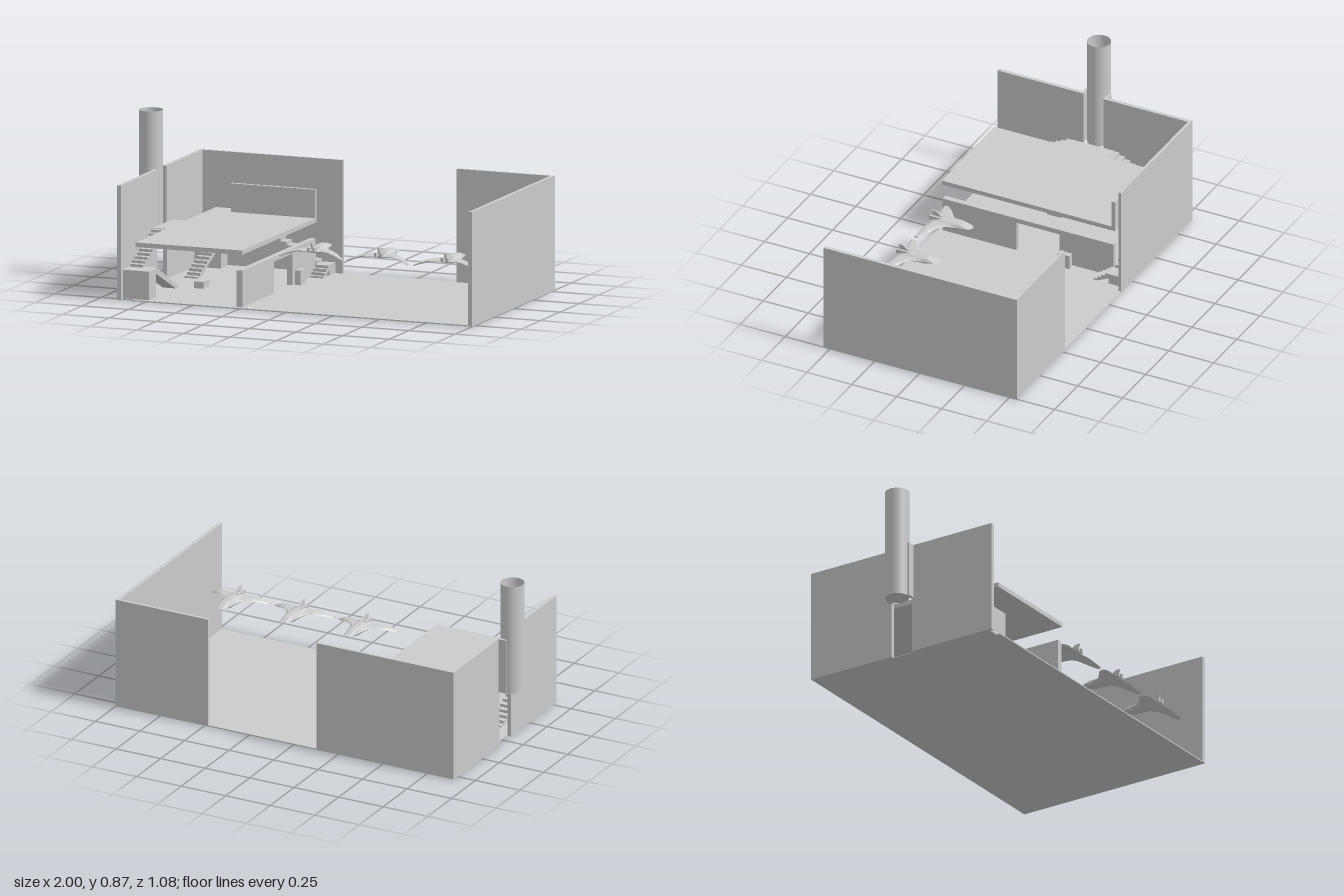
import * as THREE from 'three';

const mat = new THREE.MeshStandardMaterial({ color: 0xcccccc, flatShading: true, side: THREE.DoubleSide });
const smooth = new THREE.MeshStandardMaterial({ color: 0xcccccc, side: THREE.DoubleSide });

function add(parent, name, geometry, material = mat) {
  const mesh = new THREE.Mesh(geometry, material);
  mesh.name = name;
  parent.add(mesh);
  return mesh;
}

// Box given by its ranges on each axis
function block(parent, name, x0, x1, y0, y1, z0, z1) {
  const mesh = add(parent, name, new THREE.BoxGeometry(x1 - x0, y1 - y0, Math.abs(z1 - z0)));
  mesh.position.set((x0 + x1) / 2, (y0 + y1) / 2, (z0 + z1) / 2);
}

// Plan outline of [x, z] points raised from y0 to y1
function slab(parent, name, points, y0, y1) {
  const shape = new THREE.Shape(points.map(([x, z]) => new THREE.Vector2(x, -z)));
  const geometry = new THREE.ExtrudeGeometry(shape, { depth: y1 - y0, bevelEnabled: false });
  add(parent, name, geometry.rotateX(-Math.PI / 2).translate(0, y0, 0));
}

// Stepped flight with a sloping underside, climbing along local +x
function flight(parent, name, start, angle, run, rise, width, steps) {
  const shape = new THREE.Shape();
  shape.moveTo(0, 0);
  for (let i = 0; i < steps; i++) {
    shape.lineTo((run * i) / steps, (rise * (i + 1)) / steps);
    shape.lineTo((run * (i + 1)) / steps, (rise * (i + 1)) / steps);
  }
  shape.lineTo(run, rise - 0.025);
  shape.lineTo(run * 0.1, 0);
  const geometry = new THREE.ExtrudeGeometry(shape, { depth: width, bevelEnabled: false });
  const mesh = add(parent, name, geometry.translate(0, 0, -width / 2));
  mesh.position.set(...start);
  mesh.rotation.y = angle;
}

// Gull wing and body lofted from chordwise sections: [x, front z, rear z, top y, bottom y]
function flyerGeometry() {
  const half = [
    [0.165, 0.095, 0.12, -0.022, -0.028],
    [0.12, 0.058, 0.108, -0.002, -0.015],
    [0.085, 0.035, 0.1, 0.006, -0.004],
    [0.05, 0.005, 0.094, 0.008, -0.004],
    [0.035, -0.045, 0.094, 0.009, -0.008],
    [0.025, -0.108, 0.094, 0.016, -0.012],
    [0.012, -0.122, 0.094, 0.02, -0.013],
  ];
  const stations = [...half.map(([x, ...r]) => [-x, ...r]), ...half.reverse()];
  const pos = [], index = [];
  stations.forEach(([x, a, b, top, bottom]) => {
    const mid = (top + bottom) / 2, f = a + (b - a) * 0.25, r = a + (b - a) * 0.8;
    pos.push(x, mid, a, x, top, f, x, top, r, x, mid, b, x, bottom, r, x, bottom, f);
  });
  for (let i = 0; i < stations.length - 1; i++) {
    for (let j = 0; j < 6; j++) {
      const p = i * 6 + j, q = i * 6 + ((j + 1) % 6);
      index.push(p, q, p + 6, q, q + 6, p + 6);
    }
  }
  const last = (stations.length - 1) * 6;
  for (let j = 1; j < 5; j++) index.push(0, j + 1, j, last, last + j, last + j + 1);
  const geometry = new THREE.BufferGeometry();
  geometry.setAttribute('position', new THREE.Float32BufferAttribute(pos, 3));
  geometry.setIndex(index);
  geometry.computeVertexNormals();
  return geometry;
}

function makeFlyer() {
  const flyer = new THREE.Group();
  flyer.name = 'aircraft';
  add(flyer, 'wingBody', flyerGeometry());
  // swept tail fin
  const fin = new THREE.Shape([[0.03, 0.01], [0.08, 0.045], [0.105, 0.045], [0.09, 0.01]].map(p => new THREE.Vector2(...p)));
  const finGeometry = new THREE.ExtrudeGeometry(fin, { depth: 0.008, bevelEnabled: false });
  add(flyer, 'tailFin', finGeometry.translate(0, 0, -0.004).rotateY(-Math.PI / 2));
  // engine pods beside the fin
  for (const s of [-1, 1]) block(flyer, 'enginePod', s * 0.014 - 0.006, s * 0.014 + 0.006, 0, 0.022, 0.04, 0.11);
  return flyer;
}

export function createModel() {
  const model = new THREE.Group();
  model.name = 'hangar';

  // Floor, notched beside the tower and at the front corner
  slab(model, 'floor', [
    [-0.9, -0.54], [1, -0.54], [1, 0.535], [-0.82, 0.535], [-0.82, 0.515], [-0.88, 0.515],
    [-0.88, 0.06], [-0.88, -0.06], [-0.9, -0.06],
  ], 0, 0.006);

  // Outer walls
  const H = 0.577;
  block(model, 'leftWall', 0.98, 1, 0, H, -0.54, 0.535);
  block(model, 'backWallLeft', 0.48, 0.98, 0, H, -0.54, -0.525);
  block(model, 'backWallRight', -0.88, -0.13, 0, H, -0.54, -0.525);
  block(model, 'rightWallBack', -0.9, -0.88, 0, H, -0.54, -0.06);
  block(model, 'rightWallFront', -0.9, -0.88, 0, H, 0.06, 0.535);

  // Tower tube with its floor and entrance side walls
  const tube = add(model, 'tower', new THREE.CylinderGeometry(0.06, 0.06, 0.575, 40, 1, true), smooth);
  tube.position.set(-0.94, 0.578, 0);
  const base = add(model, 'towerFloor', new THREE.CylinderGeometry(0.06, 0.06, 0.006, 40));
  base.position.set(-0.94, 0.293, 0);
  for (const s of [-1, 1]) block(model, 'entranceSide', -0.94, -0.88, 0.29, H, s * 0.055, s * 0.07);

  // Raised deck with a landing to the tower and a stairwell at the back
  slab(model, 'deck', [
    [-0.81, 0.515], [-0.24, 0.515], [-0.24, -0.45], [-0.69, -0.45], [-0.69, -0.525], [-0.81, -0.525],
    [-0.81, -0.12], [-0.88, -0.12], [-0.88, 0.115], [-0.81, 0.115],
  ], 0.27, 0.293);
  block(model, 'deckParapet', -0.69, -0.24, 0.27, 0.437, -0.45, -0.43);

  // Low wall under the deck edge, with a doorway
  block(model, 'lowWallFront', -0.27, -0.24, 0, 0.19, 0.1, 0.51);
  block(model, 'lowWallBack', -0.27, -0.24, 0, 0.19, -0.44, -0.14);
  block(model, 'doorHead', -0.27, -0.24, 0.165, 0.19, -0.14, 0.1);

  // Folded stairs on both sides of the tower landing
  for (const s of [-1, 1]) {
    block(model, 'stairLanding', -0.88, -0.74, 0, 0.15, s * 0.42, s * 0.51);
    flight(model, 'upperStairs', [-0.845, 0.15, s * 0.42], (s * Math.PI) / 2, 0.305, 0.14, 0.07, 10);
    flight(model, 'lowerStairs', [-0.775, 0, s * 0.12], (-s * Math.PI) / 2, 0.3, 0.15, 0.07, 10);
  }

  // Back stairs turning along the rear wall up to the deck
  flight(model, 'backEntrySteps', [-0.205, 0, -0.365], Math.PI / 2, 0.085, 0.06, 0.07, 4);
  block(model, 'backLanding', -0.24, -0.17, 0, 0.06, -0.525, -0.45);
  flight(model, 'backStairs', [-0.24, 0.06, -0.4875], Math.PI, 0.45, 0.232, 0.075, 14);

  // Small crates and consoles
  block(model, 'crate', -0.66, -0.61, 0, 0.04, 0.04, 0.12);
  block(model, 'console', -0.23, -0.2, 0, 0.08, -0.215, -0.15);

  // Row of hovering aircraft
  for (const x of [0.085, 0.443, 0.8]) {
    const flyer = makeFlyer();
    flyer.position.set(x, 0.288, 0.298);
    model.add(flyer);
  }
  return model;
}
